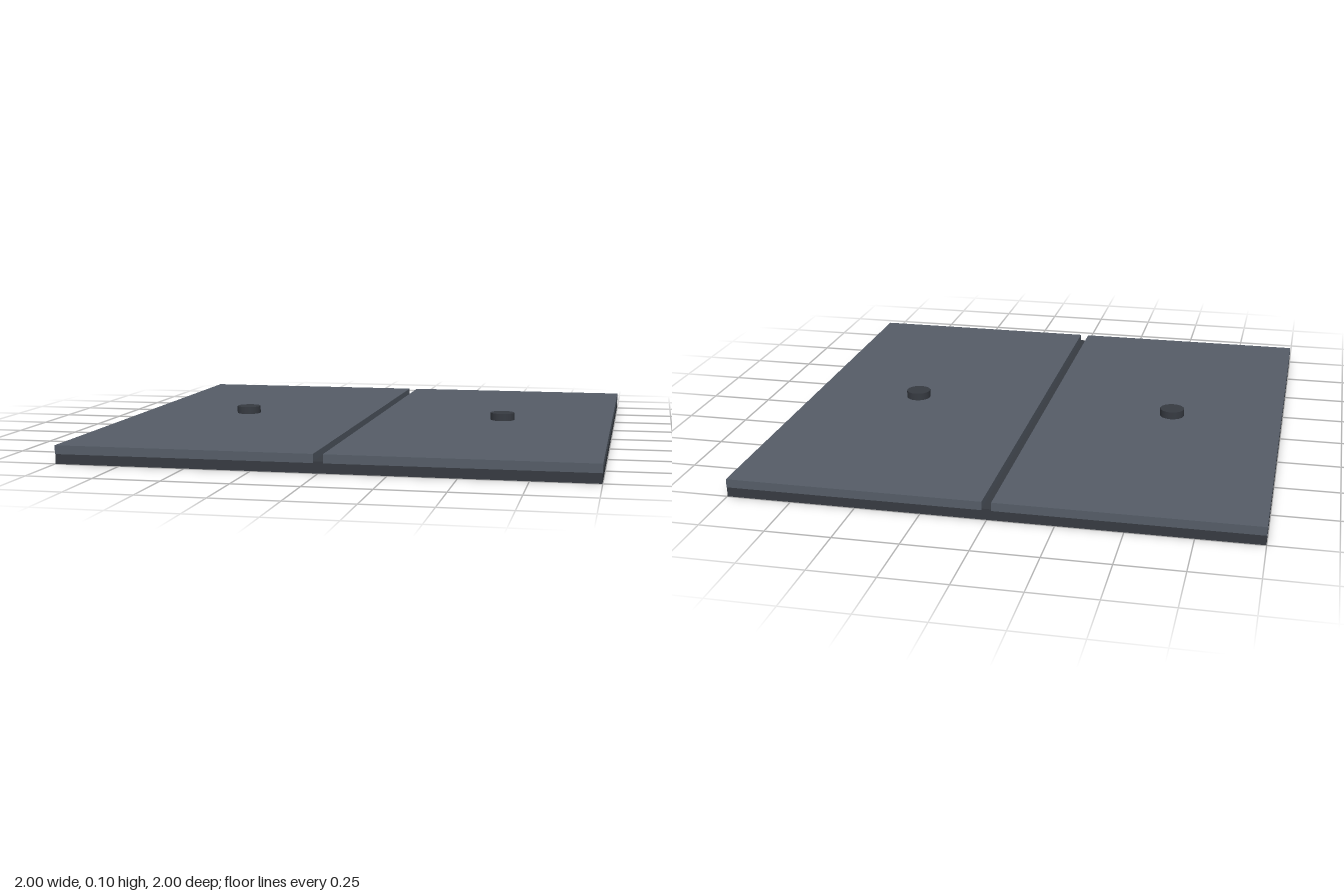
import * as THREE from 'three';

export function createModel() {
  const group = new THREE.Group();
  const panelMat = new THREE.MeshStandardMaterial({ color: 0x565d68 });
  panelMat.name = 'slate grey';
  const darkMat = new THREE.MeshStandardMaterial({ color: 0x373b42 });
  darkMat.name = 'dark grey';

  const add = (name, geometry, material, x, y) => {
    const mesh = new THREE.Mesh(geometry, material);
    mesh.name = name;
    mesh.position.set(x, y, 0);
    group.add(mesh);
  };

  // Base slab, a hair smaller than the panels that overlap its top edge
  const baseTop = 0.043;
  add('base', new THREE.BoxGeometry(1.998, baseTop, 1.998), darkMat, 0, baseTop / 2);

  // Two door panels with a narrow seam between them, each with a round knob
  const seam = 0.036, panelBottom = 0.037, panelTop = 0.07, knobTop = 0.1;
  const panelWidth = 1 - seam / 2;
  for (const [side, s] of [['left', 1], ['right', -1]]) {
    add(side + 'Panel', new THREE.BoxGeometry(panelWidth, panelTop - panelBottom, 2),
      panelMat, s * (seam / 2 + panelWidth / 2), (panelTop + panelBottom) / 2);
    add(side + 'Knob', new THREE.CylinderGeometry(0.05, 0.05, knobTop - panelTop + 0.01, 16),
      darkMat, s * 0.55, (knobTop + panelTop - 0.01) / 2);
  }
  return group;
}
